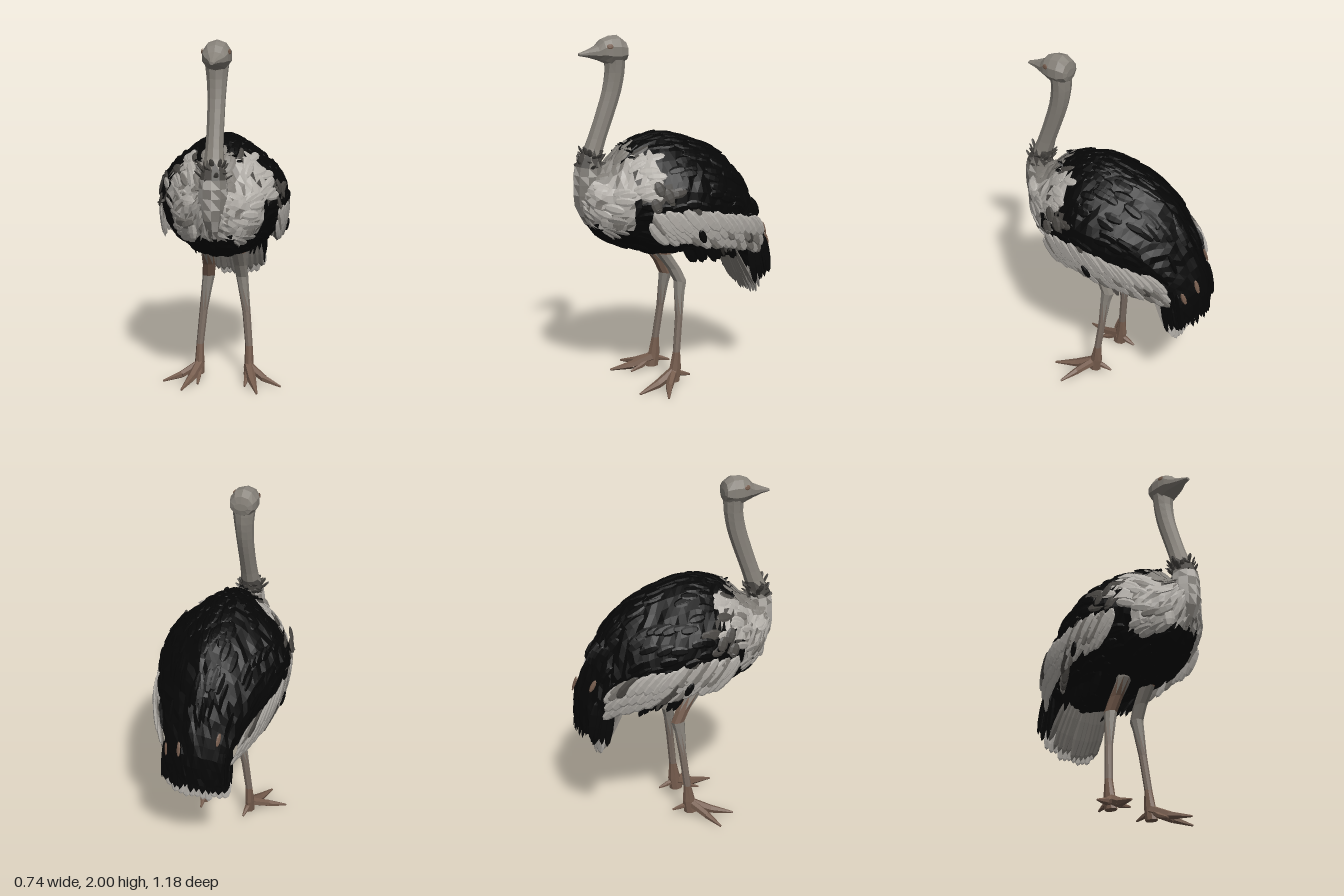
import * as THREE from 'three';
import { mergeGeometries } from 'three/addons/utils/BufferGeometryUtils.js';

const V = (x, y, z) => new THREE.Vector3(x, y, z);
const mat = (name, color) => Object.assign(new THREE.MeshStandardMaterial({ color }), { name });

let seed = 7;
const rnd = () => (seed = (seed * 16807) % 2147483647) / 2147483647;
const jit = (s) => (rnd() - 0.5) * 2 * s;

// A ring is [zA, yA, zB, yB, halfWidth, xCentre, pinch]: two opposite points in the side plane,
// a width, and how much the A side narrows to a ridge.
function ringAt(rings, t) {
  const f = Math.min(Math.max(t, 0), 1) * (rings.length - 1);
  const i = Math.min(Math.floor(f), rings.length - 2), u = f - i;
  const get = (k) => rings[Math.min(Math.max(k, 0), rings.length - 1)];
  const [a, b, c, d] = [get(i - 1), get(i), get(i + 1), get(i + 2)];
  return b.map((p, k) => p + 0.5 * u * (c[k] - a[k]
    + u * (2 * a[k] - 5 * p + 4 * c[k] - d[k] + u * (3 * (p - c[k]) + d[k] - a[k]))));
}

function ringPoint([zA, yA, zB, yB, w, xc = 0, pinch = 0], a) {
  const c = Math.cos(a);
  const x = w * Math.sin(a) * (1 - pinch * Math.max(c, 0) ** 2);
  return V(xc + x, (yA + yB) / 2 + (yA - yB) * c / 2, (zA + zB) / 2 + (zA - zB) * c / 2);
}

// Faceted skin over a list of rings, closed at both ends; pick(centre) chooses the material of a face.
function loft(name, rings, sides, mats, pick = () => 0, rough = 0) {
  const rows = rings.map((r) => Array.from({ length: sides }, (_, k) =>
    ringPoint(r, (k / sides) * Math.PI * 2).add(V(jit(rough), jit(rough), jit(rough)))));
  const cap = (row) => {
    const c = row.reduce((s, p) => s.add(p), V(0, 0, 0)).divideScalar(sides);
    return row.map(() => c);
  };
  rows.unshift(cap(rows[0]));
  rows.push(cap(rows[rows.length - 1]));
  const buckets = mats.map(() => []);
  const face = (a, b, c) => {
    const m = a.clone().add(b).add(c).divideScalar(3);
    buckets[pick(m)].push(a, b, c);
  };
  for (let i = 0; i < rows.length - 1; i++) {
    for (let k = 0; k < sides; k++) {
      const n = (k + 1) % sides;
      if (i > 0) face(rows[i][k], rows[i][n], rows[i + 1][k]);
      if (i < rows.length - 2) face(rows[i][n], rows[i + 1][n], rows[i + 1][k]);
    }
  }
  const geo = new THREE.BufferGeometry().setFromPoints(buckets.flat());
  let start = 0;
  buckets.forEach((b, i) => { geo.addGroup(start, b.length, i); start += b.length; });
  geo.computeVertexNormals();
  const mesh = new THREE.Mesh(geo, mats);
  mesh.name = name;
  return mesh;
}

// Flat leaf-shaped feather from a to b, lying square to the outward direction.
function feather(a, b, out, width, thick = 0.008) {
  const dir = b.clone().sub(a), len = dir.length();
  dir.normalize();
  const side = dir.clone().cross(out).normalize(), up = side.clone().cross(dir);
  const g = new THREE.SphereGeometry(1, 6, 5).toNonIndexed();
  g.scale(width, len / 2, thick);
  g.applyMatrix4(new THREE.Matrix4().makeBasis(side, dir, up));
  g.translate((a.x + b.x) / 2, (a.y + b.y) / 2, (a.z + b.z) / 2);
  g.computeVertexNormals();
  return g;
}

// Tapered six-sided rod from a to b.
function rod(a, b, ra, rb) {
  const dir = b.clone().sub(a);
  const g = new THREE.CylinderGeometry(rb, ra, dir.length(), 6).toNonIndexed();
  g.applyQuaternion(new THREE.Quaternion().setFromUnitVectors(V(0, 1, 0), dir.clone().normalize()));
  g.translate((a.x + b.x) / 2, (a.y + b.y) / 2, (a.z + b.z) / 2);
  g.computeVertexNormals();
  return g;
}

const BODY = [
  [0.565, 1.26, 0.57, 1.08, 0.04], [0.53, 1.29, 0.53, 0.98, 0.09], [0.46, 1.28, 0.46, 0.895, 0.165],
  [0.38, 1.32, 0.36, 0.845, 0.235], [0.3, 1.4, 0.24, 0.8, 0.285], [0.2, 1.435, 0.14, 0.77, 0.33],
  [0.1, 1.455, 0.05, 0.77, 0.357], [0, 1.44, -0.05, 0.77, 0.358], [-0.12, 1.4, -0.14, 0.76, 0.338],
  [-0.24, 1.35, -0.22, 0.75, 0.305], [-0.36, 1.255, -0.28, 0.75, 0.265], [-0.44, 1.13, -0.34, 0.745, 0.23],
  [-0.51, 1, -0.38, 0.72, 0.2], [-0.58, 0.83, -0.42, 0.66, 0.18], [-0.59, 0.64, -0.47, 0.6, 0.165],
].map((r) => [...r, 0, 0.42]);
const NECK = [
  [0.53, 0.97, 0.42, 0.97, 0.035], [0.588, 1.08, 0.42, 1.08, 0.065], [0.592, 1.2, 0.42, 1.2, 0.08],
  [0.58, 1.3, 0.43, 1.28, 0.072], [0.525, 1.4, 0.42, 1.38, 0.053], [0.485, 1.5, 0.378, 1.5, 0.047],
  [0.45, 1.6, 0.34, 1.6, 0.047], [0.418, 1.7, 0.307, 1.7, 0.049], [0.4, 1.8, 0.288, 1.8, 0.056],
  [0.4, 1.88, 0.285, 1.88, 0.066],
];
const HEAD = [
  [0.55, 1.91, 0.55, 1.895, 0.012], [0.5, 1.928, 0.5, 1.885, 0.028], [0.45, 1.95, 0.445, 1.868, 0.055],
  [0.42, 1.982, 0.415, 1.855, 0.07], [0.38, 1.997, 0.38, 1.838, 0.079], [0.33, 2, 0.33, 1.832, 0.08],
  [0.29, 1.97, 0.285, 1.86, 0.068], [0.28, 1.93, 0.278, 1.89, 0.04],
];
const LEG = [
  [0.1, 0.025, 0.02, 0.025, 0.03, 0.145], [0.085, 0.1, 0.01, 0.1, 0.027, 0.145], [0.06, 0.2, 0.016, 0.2, 0.022, 0.143],
  [0.037, 0.4, -0.007, 0.4, 0.024, 0.125], [0.035, 0.55, -0.03, 0.55, 0.032, 0.105], [0.035, 0.61, -0.045, 0.6, 0.036, 0.097],
  [0.075, 0.69, -0.015, 0.67, 0.037, 0.09], [0.14, 0.78, 0.05, 0.77, 0.042, 0.085], [0.17, 0.87, 0.04, 0.87, 0.05, 0.08],
];

export function createModel() {
  const black = mat('black plumage', 0x060606), light = mat('pale plumage', 0xb2aea8);
  const mid = mat('grey plumage', 0x807c76), dark = mat('dark grey plumage', 0x4a4743);
  const skin = mat('grey skin', 0x87827a), shin = mat('shin skin', 0x7b6d63), foot = mat('brown skin', 0x755c4d);
  const model = new THREE.Group();
  const add = (name, geos, m) => {
    const mesh = new THREE.Mesh(mergeGeometries(geos), m);
    mesh.name = name;
    model.add(mesh);
  };

  // Body: black hull with pale breast and shoulders, broken by dark patches at the sides
  const bodyTone = ({ x, y, z }) => {
    const w = Math.abs(x), n = jit(0.02);
    if (z > 0.33 + n && y > 0.96 + n && w < 0.25) return w < 0.11 && (z < 0.45 || y > 1.22) ? 2 : rnd() < 0.15 ? 2 : 1;
    if (z > 0.19 + n && y > 1.14 + n && y < 1.37 && w > 0.1 && w < 0.275 + n) return rnd() < 0.15 ? 3 : 1;
    return z > 0.16 + n && y > 1.1 && y < 1.27 && w > 0.2 && rnd() < 0.6 ? 3 : 0;
  };
  const rings = Array.from({ length: 43 }, (_, i) => ringAt(BODY, i / 42));
  model.add(loft('body', rings, 36, [black, light, mid, dark], bodyTone, 0.006));

  // Small feathers lying on the hull, pointing backwards
  const tones = [[], [], [], []];
  for (let i = 0; i < 420; i++) {
    const t = 0.08 + rnd() * 0.82, a = rnd() * Math.PI * 2;
    const p = ringPoint(ringAt(BODY, t), a), q = ringPoint(ringAt(BODY, t + 0.07), a + jit(0.08));
    const out = p.clone().sub(V(0, 1.1, p.z)).normalize();
    if (t > 0.8 && out.y < -0.2) continue;
    tones[bodyTone(p)].push(feather(p, q.addScaledVector(out, 0.008), out, 0.028));
  }
  // ragged black ridge between the shoulders
  for (let i = 0; i < 9; i++) {
    const x = -0.1 + i * 0.025;
    tones[0].push(feather(V(x, 1.37 - Math.abs(x) * 0.3, 0.25), V(x * 1.2, 1.41 - Math.abs(x) * 0.5 + jit(0.015), 0.32), V(0, 1, 0), 0.02));
  }
  [black, light, mid, dark].forEach((m, i) => add('bodyFeathers', tones[i], m));

  // Wings: overlapping pale plumes sweeping back and down, standing off the flanks at the lower edge
  const flank = (y, z, s) => V(s * 0.355 * Math.sqrt(1 - (z / 0.62) ** 2)
    * Math.sqrt(1 - ((y - 1.08) / 0.5) ** 2), y, z);
  for (const s of [1, -1]) {
    const pale = [], grey = [], shade = [], fringe = [];
    for (let row = 0; row < 3; row++) {
      for (let i = 0; i < 16; i++) {
        const u = (i + 0.5) / 16, z = 0.29 - u * 0.68 + jit(0.015);
        const y = 1.08 - 0.1 * u * u - row * (0.03 + 0.03 * u) + jit(0.012);
        const a = flank(y, z, s), b = flank(y - 0.13, z - 0.11, s);
        a.x += s * 0.004;
        b.x += s * (0.006 + 0.02 * u);
        const out = V(s, -0.25, -0.3 * u).normalize();
        const tone = rnd();
        (tone < 0.04 ? shade : tone < 0.18 ? grey : pale).push(feather(a, b, out, 0.036, 0.01));
      }
    }
    // dark patches above the front of the wing
    for (const [y, z] of [[1.24, 0.24], [1.2, 0.19], [1.15, 0.26], [1.12, 0.03]]) {
      const a = flank(y, z, s), b = flank(y - 0.08, z - 0.03, s);
      b.x += s * 0.008;
      shade.push(feather(a, b, V(s, 0, 0), 0.03));
    }
    // stray quill at the shoulder
    shade.push(feather(V(s * 0.3, 1.1, 0.2), V(s * 0.345, 1.09, 0.25), V(0, 1, 0), 0.015));
    // grey plumes lining the inside of the wing
    for (let i = 0; i < 6; i++) {
      const x = 0.31 - i * 0.018, z = -0.13 - i * 0.025;
      (i % 2 ? grey : shade).push(feather(V(s * x, 0.95, z), V(s * (x - 0.03), 0.785 + jit(0.015), z - 0.06), V(0, -0.3, 1), 0.03));
    }
    // ragged black fringe under the wing
    for (let i = 0; i < 10; i++) {
      const z = 0.02 - i * 0.033;
      fringe.push(feather(V(s * 0.19, 0.86, z), V(s * (0.15 + jit(0.03)), 0.7 + rnd() * 0.04, z - 0.08), V(s, -0.4, 0), 0.026));
    }
    // black gap showing between the plumes
    fringe.push(feather(V(s * 0.36, 0.96, 0), V(s * 0.345, 0.88, -0.04), V(s, -0.25, 0), 0.022, 0.012));
    add('wingPlumes', pale, light);
    add('wingGreyPlumes', grey, mid);
    add('wingDarkPlumes', shade, dark);
    add('bellyFringe', fringe, black);
  }

  // Tail: black plumes over a longer layer of grey ones
  const over = [], under = [], tips = [];
  for (let i = 0; i < 11; i++) {
    const x = -0.165 + i * 0.033, drop = 0.05 * (x / 0.165) ** 2;
    const out = V(x * 1.5, 0.25, -1).normalize();
    over.push(feather(V(x * 0.9, 0.9, -0.53 + drop * 0.8), V(x, 0.6 + jit(0.02), -0.59 + drop), out, 0.03));
    over.push(feather(V(x, 0.78, -0.48), V(x * 1.05, 0.56 + jit(0.03), -0.52), out, 0.03));
    under.push(feather(V(x * 0.8, 0.8, -0.32), V(x, 0.49 + drop + jit(0.02), -0.46), out, 0.032));
    tips.push(feather(V(x, 0.64, -0.46), V(x, 0.465 + drop + jit(0.015), -0.485), out, 0.032));
  }
  for (const s of [1, -1]) {
    for (let i = 0; i < 4; i++) {
      over.push(feather(V(s * 0.18, 0.84, -0.41 - i * 0.03), V(s * 0.185, 0.55 + i * 0.02, -0.45 - i * 0.03), V(s, 0, 0), 0.026));
    }
  }
  add('tailBlackPlumes', over, black);
  add('tailGreyPlumes', under, mid);
  add('tailTips', tips, light);
  add('tailBrownFlecks', [[0.9, 0.55], [0.9, 1.1], [0.86, -0.9]].map(([t, a]) => {
    const p = ringPoint(ringAt(BODY, t), a), q = ringPoint(ringAt(BODY, t + 0.035), a);
    const out = p.clone().sub(V(0, 0.85, -0.42)).normalize();
    return feather(p.addScaledVector(out, 0.012), q.addScaledVector(out, 0.012), out, 0.014);
  }), foot);

  // Breast lobes beside the base of the neck
  const lobes = [], lobeShade = [];
  for (const s of [1, -1]) {
    for (let i = 0; i < 18; i++) {
      const a = V(s * (0.09 + rnd() * 0.13), 1.07 + rnd() * 0.15, 0);
      a.z = 0.525 - (Math.abs(a.x) - 0.09) * 1.15 - (a.y - 1.07) * 0.25;
      const b = a.clone().add(V(-s * 0.012, -0.12, 0));
      (i % 5 ? lobes : lobeShade).push(feather(a, b, V(s * 0.8, 0, 1).normalize(), 0.036, 0.014));
    }
  }
  add('breastLobes', lobes, light);
  add('breastShading', lobeShade, mid);

  // Neck running down into the crop, ruff and head
  const neckTone = ({ y }) => (y > 1.37 ? 0 : y > 1.31 ? 3 : rnd() < 0.35 ? 1 : 2);
  const neckRings = Array.from({ length: 19 }, (_, i) => ringAt(NECK, i / 18));
  model.add(loft('neckAndCrop', neckRings, 10, [skin, light, mid, dark], neckTone));
  const ruff = [];
  for (let i = 0; i < 34; i++) {
    const a = (i / 17) * Math.PI * 2, y = 1.28 + rnd() * 0.08, out = V(Math.sin(a), 0, Math.cos(a));
    const c = V(0, y, 0.5 - (y - 1.28) * 0.2);
    ruff.push(feather(c.clone().addScaledVector(out, 0.05), c.clone().addScaledVector(out, 0.07 + rnd() * 0.02)
      .add(V(jit(0.02), 0.03 + jit(0.03), 0)), out, 0.014, 0.006));
  }
  add('neckRuff', ruff, dark);
  model.add(loft('headAndBeak', HEAD, 10, [skin]));
  add('eyes', [1, -1].map((s) => feather(V(s * 0.068, 1.945, 0.415), V(s * 0.077, 1.945, 0.38),
    V(s, 0.2, 0.15).normalize(), 0.014, 0.004)), foot);

  // Legs and splayed toes
  for (const s of [1, -1]) {
    const patch = (y) => (s > 0 ? y > 0.78 : y > 0.6 && y < 0.73);
    const tone = ({ y }) => (y < 0.17 || patch(y) ? 2 : y < 0.48 ? 1 : 0);
    model.add(loft('leg', LEG.map((r) => [...r.slice(0, 5), r[5] * s]), 8, [skin, shin, foot], tone));
    const toes = [];
    const toe = (x, z, r, kx, kz, ky = 0.035) => {
      const root = V(s * 0.145, 0.08, 0.06), knee = V(s * kx, ky, kz);
      toes.push(rod(root, knee, r * 1.25, r), rod(knee, V(s * x, ky > 0.04 ? 0.045 : 0.01, z), r, 0.006));
    };
    toe(0.215, 0.3, 0.025, 0.175, 0.17);
    toe(0.34, 0.18, 0.021, 0.24, 0.13);
    toe(0.135, 0.2, 0.016, 0.14, 0.13);
    toe(0.135, -0.05, 0.015, 0.14, 0, 0.06);
    add('toes', toes, foot);
  }
  return model;
}
